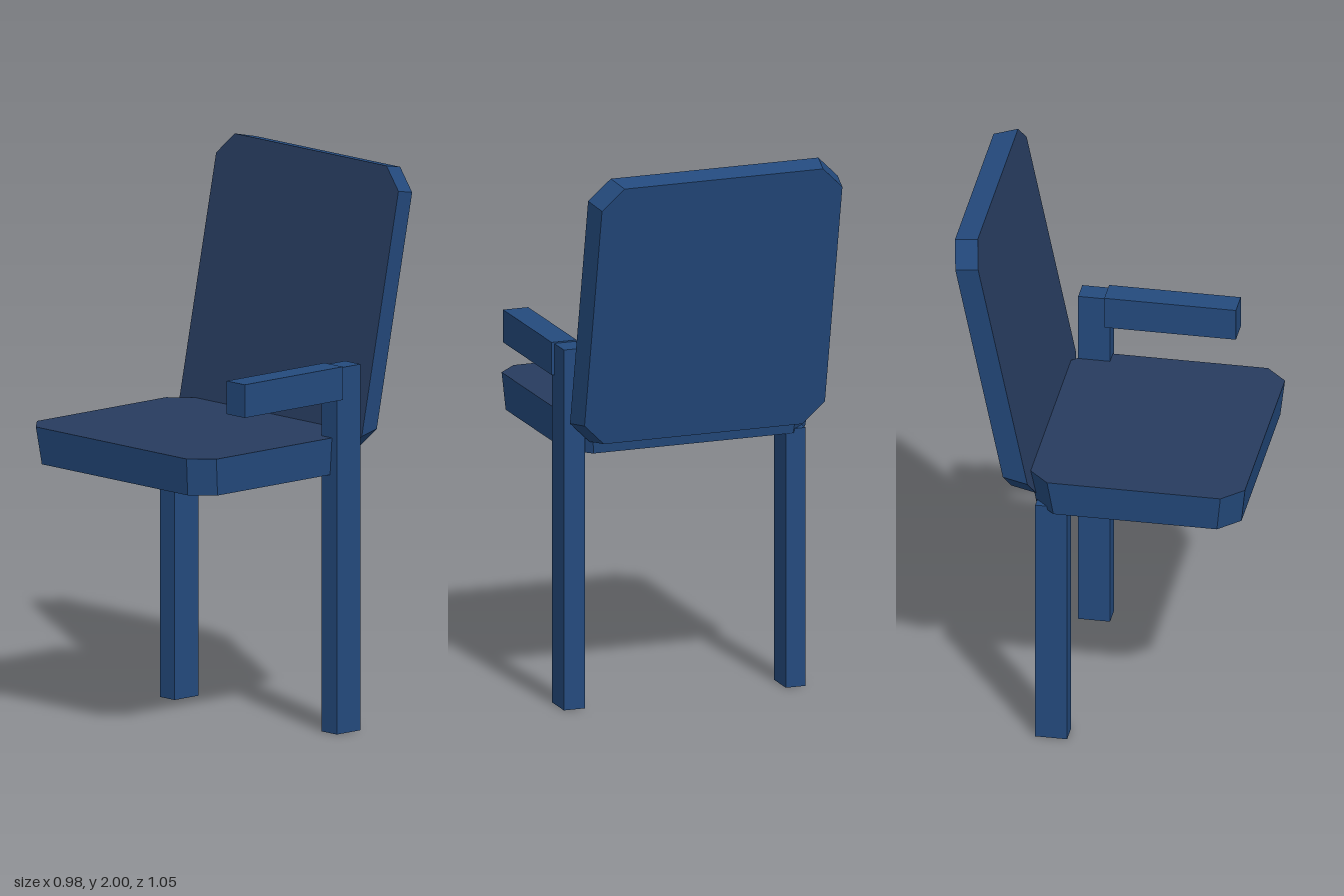
import * as THREE from 'three';

const frameBlue = new THREE.MeshStandardMaterial({ color: 0x244a7d });
frameBlue.name = 'frame blue';
const cushionBlue = new THREE.MeshStandardMaterial({ color: 0x273c5f });
cushionBlue.name = 'cushion grey blue';

// Rectangle with cut corners, counter-clockwise
function outline([x0, x1, y0, y1], c, z) {
  return [
    [x0 + c, y0, z], [x1 - c, y0, z], [x1, y0 + c, z], [x1, y1 - c, z],
    [x1 - c, y1, z], [x0 + c, y1, z], [x0, y1 - c, z], [x0, y0 + c, z],
  ];
}

// Tapered slab: cushion-coloured face at z = 0, frame-coloured sides and back
function taperedPanel(name, face, back, cut, depth) {
  const a = outline(face, cut, 0);
  const b = outline(back, cut, -depth);
  const pos = [];
  const tri = (...points) => points.forEach((p) => pos.push(...p));
  for (let i = 1; i < 7; i++) tri(a[0], a[i], a[i + 1]);
  const faceCount = pos.length / 3;
  for (let i = 1; i < 7; i++) tri(b[0], b[i + 1], b[i]);
  for (let i = 0; i < 8; i++) {
    const j = (i + 1) % 8;
    tri(a[i], b[i], b[j]);
    tri(a[i], b[j], a[j]);
  }
  const geo = new THREE.BufferGeometry();
  geo.setAttribute('position', new THREE.Float32BufferAttribute(pos, 3));
  geo.addGroup(0, faceCount, 0);
  geo.addGroup(faceCount, pos.length / 3 - faceCount, 1);
  geo.computeVertexNormals();
  const mesh = new THREE.Mesh(geo, [cushionBlue, frameBlue]);
  mesh.name = name;
  return mesh;
}

// Box given by its limits on each axis
function block(name, [x0, x1], [y0, y1], [z0, z1]) {
  const mesh = new THREE.Mesh(new THREE.BoxGeometry(x1 - x0, y1 - y0, z1 - z0), frameBlue);
  mesh.position.set((x0 + x1) / 2, (y0 + y1) / 2, (z0 + z1) / 2);
  mesh.name = name;
  return mesh;
}

export function createModel() {
  const chair = new THREE.Group();
  chair.name = 'chair';

  // Seat, lying flat with its cushion face up
  const seat = taperedPanel('seat', [-0.485, 0.45, -0.525, 0.25], [-0.47, 0.44, -0.51, 0.23], 0.075, 0.135);
  seat.rotation.x = -Math.PI / 2;
  seat.position.y = 1.07;

  // Backrest, leaning backwards
  const backrest = taperedPanel('backrest', [-0.49, 0.46, 0, 1.041], [-0.475, 0.44, 0.03, 1.04], 0.08, 0.087);
  backrest.rotation.x = -0.203;
  backrest.position.set(0, 0.98, -0.229);

  // Short right leg, tall left post and the single armrest
  chair.add(
    seat,
    backrest,
    block('rightLeg', [-0.445, -0.37], [0, 0.95], [-0.225, -0.11]),
    block('leftPost', [0.395, 0.475], [0, 1.325], [-0.225, -0.11]),
    block('leftArmrest', [0.39, 0.485], [1.21, 1.33], [-0.13, 0.345]),
  );
  return chair;
}
